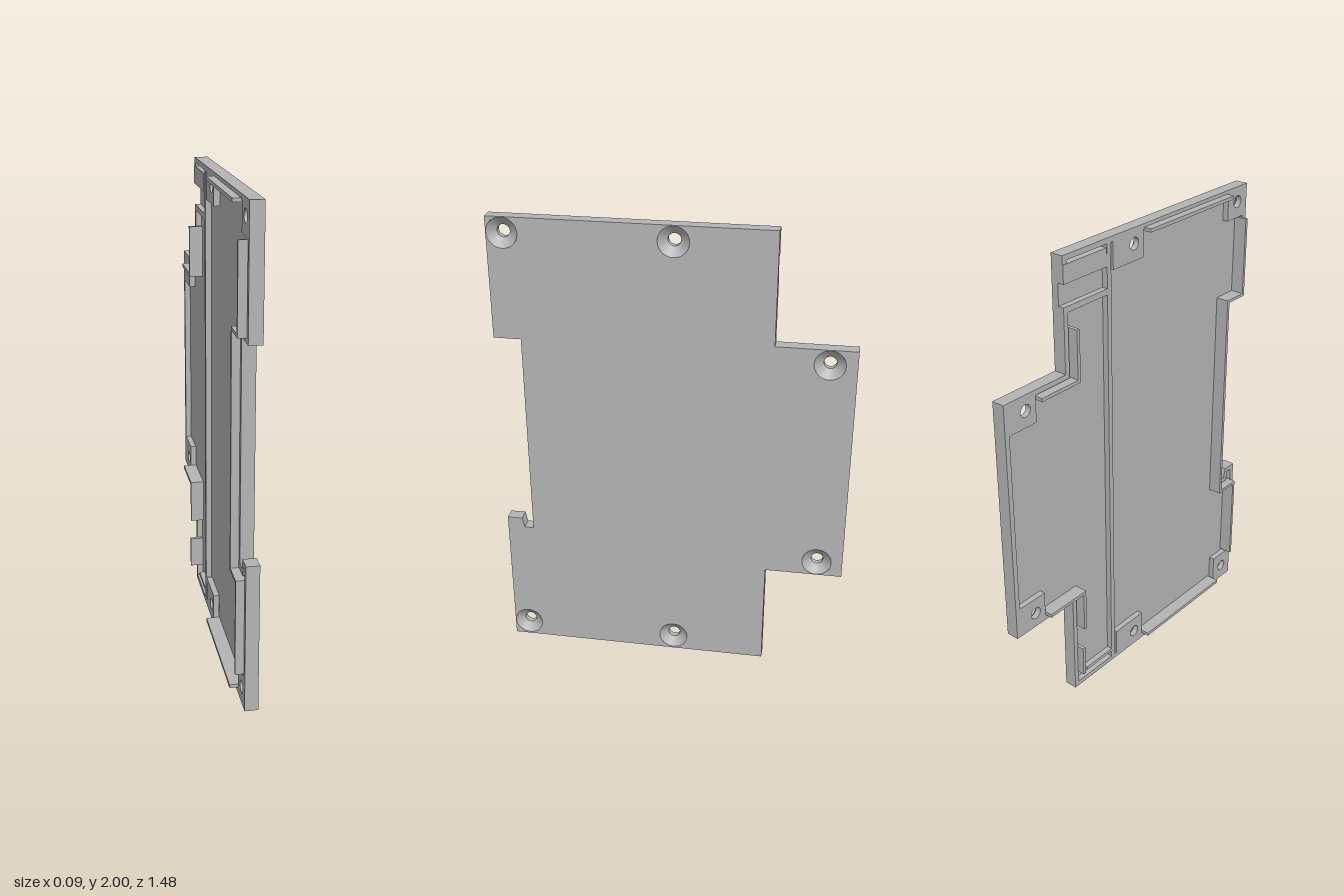
import * as THREE from 'three';

export function createModel() {
  const model = new THREE.Group();
  const grey = new THREE.MeshStandardMaterial({ color: 0xb4b4b4, side: THREE.DoubleSide });
  grey.name = 'plain grey';

  // Thickness levels along x: outer face, pocket floor, rim face, lip tops
  const FACE = 0.043, FLOOR = 0.013, RIM = -0.012, LIP = -0.045;
  const SINK_R = 0.063, HOLE_R = 0.026;

  const add = (name, geometry) => {
    const mesh = new THREE.Mesh(geometry, grey);
    mesh.name = name;
    model.add(mesh);
    return mesh;
  };

  // Extrudes a [z, y] outline along x, with round holes [z, y, radius]
  const slab = (name, points, x0, x1, holes = []) => {
    const shape = new THREE.Shape(points.map(([z, y]) => new THREE.Vector2(-z, y)));
    for (const [z, y, r] of holes) {
      shape.holes.push(new THREE.Path().absarc(-z, y, r, 0, Math.PI * 2, true));
    }
    const g = new THREE.ExtrudeGeometry(shape, { depth: x1 - x0, bevelEnabled: false, curveSegments: 32 });
    g.rotateY(Math.PI / 2).translate(x0, 0, 0);
    return add(name, g);
  };

  const bar = (name, z0, z1, y0, y1, top) => {
    const g = new THREE.BoxGeometry(FLOOR - top, y1 - y0, z1 - z0);
    g.translate((FLOOR + top) / 2, (y0 + y1) / 2, (z0 + z1) / 2);
    return add(name, g);
  };

  // Panel outline, starting and ending at the slot in the rear edge
  const outline = [
    [-0.41, 1.89], [-0.41, 2], [0.74, 2], [0.74, 1.49], [0.625, 1.49],
    [0.625, 0.585], [0.665, 0.585], [0.675, 0.63], [0.74, 0.63], [0.74, 0],
    [-0.41, 0], [-0.41, 0.475], [-0.74, 0.475], [-0.74, 1.53], [-0.41, 1.53], [-0.41, 1.8],
  ];

  // Mitred inward offset of the outline
  const inset = (points, t) => points.map((p, i) => {
    const n = points.length;
    const normal = (a, b) => {
      const l = Math.hypot(b[0] - a[0], b[1] - a[1]);
      return [(b[1] - a[1]) / l, -(b[0] - a[0]) / l];
    };
    const u = normal(points[(i + n - 1) % n], p);
    const v = normal(p, points[(i + 1) % n]);
    const k = t / (1 + u[0] * v[0] + u[1] * v[1]);
    return [p[0] + (u[0] + v[0]) * k, p[1] + (u[1] + v[1]) * k];
  });

  // Screw positions: z, y, then boss z0, z1, y0, y1
  const screws = [
    [0.675, 1.935, 0.61, 0.735, 1.865, 1.99],
    [-0.005, 1.935, -0.13, 0.05, 1.865, 1.99],
    [0.675, 0.07, 0.61, 0.735, 0.01, 0.14],
    [-0.005, 0.07, -0.13, 0.05, 0.01, 0.14],
    [-0.63, 1.465, -0.72, -0.575, 1.395, 1.52],
    [-0.63, 0.54, -0.72, -0.575, 0.485, 0.61],
  ];

  // Panel and raised rim around the pocket
  slab('panel', outline, FLOOR, FACE, screws.map(([z, y]) => [z, y, SINK_R]));
  slab('rim', [...outline, ...inset(outline, 0.022).reverse()], RIM, FLOOR);

  // Screw bosses with countersinks
  for (const [z, y, z0, z1, y0, y1] of screws) {
    slab('screwBoss', [[z0, y0], [z1, y0], [z1, y1], [z0, y1]], RIM, FLOOR, [[z, y, HOLE_R]]);
    const cone = new THREE.LatheGeometry(
      [new THREE.Vector2(HOLE_R, FLOOR), new THREE.Vector2(SINK_R, FACE)], 32);
    cone.rotateZ(-Math.PI / 2).translate(0, y, z);
    add('countersink', cone);
  }

  // Flush ribs inside the pocket
  bar('longRib', -0.165, -0.142, 0.02, 1.98, RIM);
  bar('topBlock', -0.41, -0.17, 1.89, 1.965, -0.015);
  bar('slotRib', -0.39, -0.165, 1.775, 1.8, RIM);
  bar('lowerRib', -0.33, -0.165, 0.05, 0.065, RIM);

  // Tall lips along the top and bottom edges
  bar('topLip', 0.055, 0.6, 1.97, 1.985, LIP);
  bar('bottomLip', 0.055, 0.6, 0.02, 0.035, LIP);

  // Tall lips following the front edge and its notch
  bar('upperFrontLip', 0.697, 0.71, 1.52, 1.86, LIP);
  bar('upperNotchLip', 0.588, 0.71, 1.51, 1.523, LIP);
  bar('notchLip', 0.588, 0.602, 0.556, 1.51, LIP);
  bar('lowerNotchLip', 0.588, 0.71, 0.545, 0.558, LIP);
  bar('lowerFrontLip', 0.697, 0.71, 0.15, 0.545, LIP);

  // Tall corner lips beside the rear tab
  bar('upperTabLip', -0.575, -0.362, 1.49, 1.505, LIP);
  bar('upperCornerLip', -0.377, -0.362, 1.505, 1.71, LIP);
  bar('lowerTabLip', -0.575, -0.362, 0.5, 0.515, LIP);
  bar('lowerCornerLip', -0.377, -0.362, 0.32, 0.5, LIP);
  bar('lowerRearLip', -0.39, -0.375, 0.08, 0.22, LIP);

  return model;
}
